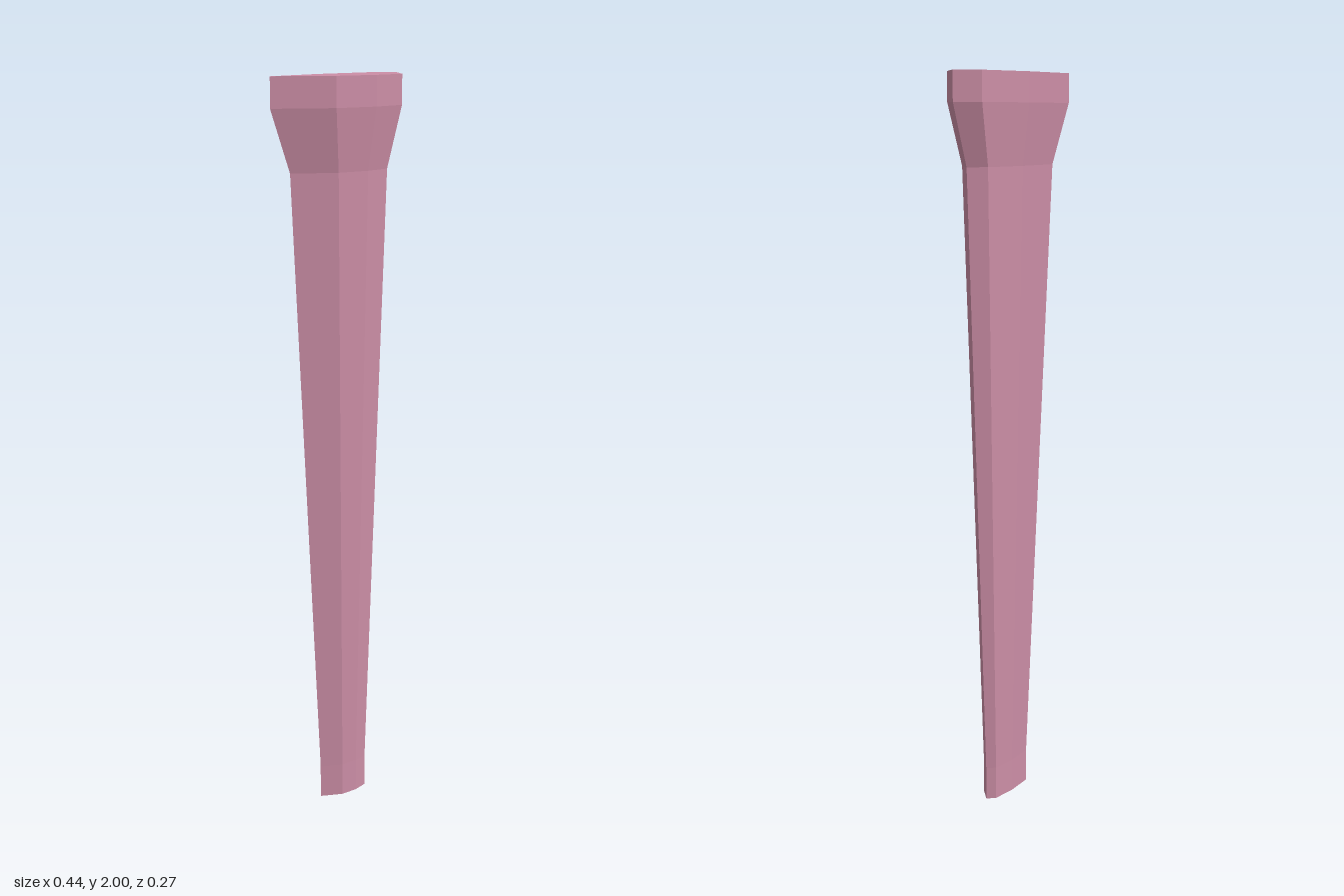
import * as THREE from 'three';

// Seven-sided cross-section (x, z), counter-clockwise from above
const OUTLINE = [
  [-0.221, 0.106], [-0.052, 0.133], [0.075, 0.093], [0.174, 0.029],
  [0.22, -0.116], [0.147, -0.135], [-0.03, -0.041],
];

// Sections from foot to head: [height, scale, x offset, z offset]
const SECTIONS = [
  [0, 0.368, 0.013, 0.0135],
  [0.09, 0.368, 0.013, 0.0135],
  [1.755, 0.745, 0.004, 0.005],
  [1.92, 1, 0, 0],
  [2, 1, 0, 0],
];

function loft(outline, sections) {
  const n = outline.length;
  const positions = [];
  const index = [];
  for (const [y, s, dx, dz] of sections) {
    for (const [x, z] of outline) positions.push(x * s + dx, y, z * s + dz);
  }
  // Side walls
  for (let r = 0; r < sections.length - 1; r++) {
    for (let i = 0; i < n; i++) {
      const a = r * n + i, b = r * n + (i + 1) % n;
      index.push(a, b, b + n, a, b + n, a + n);
    }
  }
  // Flat end caps
  const top = (sections.length - 1) * n;
  for (let i = 1; i < n - 1; i++) {
    index.push(0, i + 1, i);
    index.push(top, top + i, top + i + 1);
  }
  const geometry = new THREE.BufferGeometry();
  geometry.setAttribute('position', new THREE.Float32BufferAttribute(positions, 3));
  geometry.setIndex(index);
  const flat = geometry.toNonIndexed();
  flat.computeVertexNormals();
  return flat;
}

export function createModel() {
  const group = new THREE.Group();
  group.name = 'taperedPeg';
  const material = new THREE.MeshStandardMaterial({ color: 0xcc8ea6, flatShading: true });

  // Tapered shaft with a flared head
  const peg = new THREE.Mesh(loft(OUTLINE, SECTIONS), material);
  peg.name = 'shaftAndHead';
  group.add(peg);
  return group;
}
